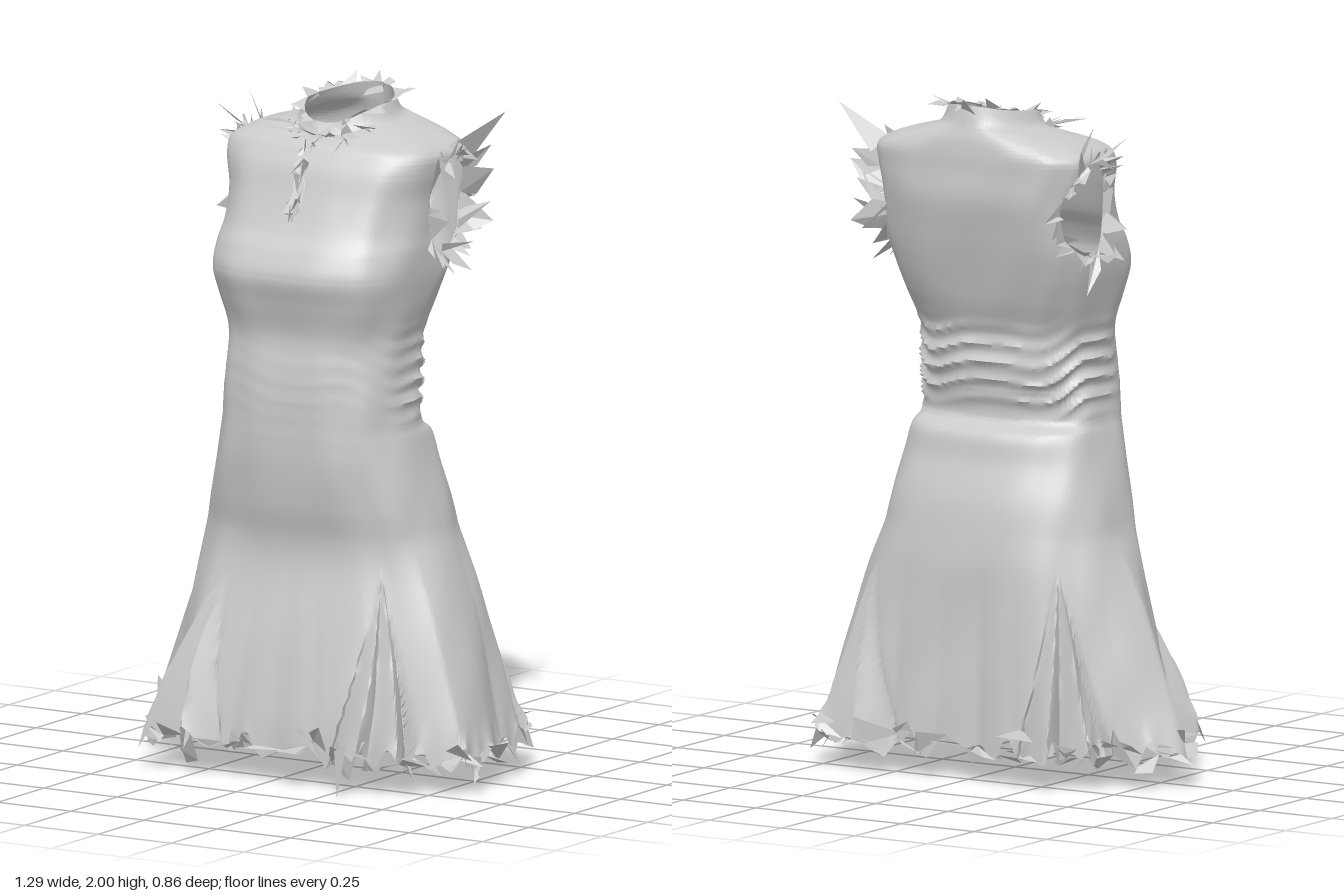
import * as THREE from 'three';
import { mergeVertices, toCreasedNormals } from 'three/addons/utils/BufferGeometryUtils.js';

const { clamp, lerp, smoothstep } = THREE.MathUtils;
const V = (x, y, z) => new THREE.Vector3(x, y, z);
const CX = 0.02; // the dress hangs slightly off centre
let seed = 7;
const rnd = () => (seed = (seed * 16807) % 2147483647) / 2147483647;
const jit = (a) => (rnd() * 2 - 1) * a;

// Cross-sections from hem to collar: y, half width, side z, front z, back z
const KEYS = [
  [0.10, 0.44, 0.02, 0.30, -0.27],
  [0.30, 0.43, 0.02, 0.25, -0.26],
  [0.50, 0.41, 0.02, 0.22, -0.26],
  [0.65, 0.385, 0.02, 0.215, -0.26],
  [0.80, 0.355, 0.02, 0.25, -0.24],
  [0.92, 0.325, 0.03, 0.27, -0.20],
  [1.00, 0.305, 0.04, 0.275, -0.18],
  [1.04, 0.295, 0.05, 0.275, -0.12],
  [1.12, 0.29, 0.05, 0.275, -0.135],
  [1.20, 0.285, 0.04, 0.27, -0.15],
  [1.30, 0.285, 0.03, 0.26, -0.15],
  [1.40, 0.305, 0.0, 0.285, -0.185],
  [1.48, 0.32, -0.04, 0.305, -0.21],
  [1.55, 0.325, -0.08, 0.28, -0.23],
  [1.61, 0.322, -0.10, 0.24, -0.245],
  [1.70, 0.325, -0.10, 0.20, -0.265],
  [1.78, 0.345, -0.10, 0.17, -0.265],
  [1.83, 0.345, -0.10, 0.14, -0.265],
  [1.865, 0.29, -0.09, 0.12, -0.26],
  [1.89, 0.20, -0.085, 0.10, -0.25],
  [1.905, 0.15, -0.08, 0.08, -0.245],
  [1.95, 0.125, -0.08, 0.06, -0.235],
];
const TOP = KEYS.length - 1;

// Hem outline: angle in degrees, radius
const HEM = [[0, 0.56], [17, 0.59], [29, 0.47], [41, 0.45], [57, 0.37], [67, 0.33], [92, 0.29], [117, 0.33],
  [133, 0.41], [145, 0.49], [158, 0.455], [172, 0.47], [184, 0.63], [199, 0.52], [211, 0.45], [226, 0.44],
  [238, 0.37], [257, 0.3], [283, 0.31], [307, 0.37], [322, 0.49], [337, 0.56], [348, 0.52], [360, 0.56]];
// Pleated godets: angle at the apex, angle at the hem, half width at the hem
const GODETS = [[31, 43, 16], [140, 139, 17], [217, 219, 17], [325, 321, 16]];
// Pleat profile across a godet
const PLEAT = [[-1, 0], [-0.92, -0.5], [-0.45, 1], [0, -0.4], [0.45, 1], [0.92, -0.5], [1, 0]];

function lookup(table, x) {
  const i = Math.max(1, table.findIndex((p) => p[0] >= x));
  const [x0, y0] = table[i - 1], [x1, y1] = table[i];
  return lerp(y0, y1, (x - x0) / (x1 - x0));
}

// Skirt radius: panels flare evenly, godets open downwards from their apex
function skirtRadius(r0, angle, y) {
  const d = ((angle * 180 / Math.PI) % 360 + 360) % 360;
  const t = clamp((0.72 - y) / 0.62, 0, 1), g = clamp((0.64 - y) / 0.54, 0, 1);
  let r = lerp(r0, lookup(HEM, d), Math.pow(t, 1.15));
  for (const [apex, hem, half] of GODETS) {
    const u = (d - lerp(apex, hem, g)) / (half * g + 0.01);
    if (Math.abs(u) < 1) r += 0.055 * g * lookup(PLEAT, u);
  }
  return r;
}

// Smoothly interpolated cross-section at row v, with neck blend and squareness
function section(v) {
  const i = Math.min(Math.floor(v), TOP - 1), f = v - i;
  const k = [i - 1, i, i + 1, i + 2].map((j) => KEYS[clamp(j, 0, TOP)]);
  const [y, rx, zs, zf, zb] = k[1].map((b, c) => {
    const m0 = (k[2][c] - k[0][c]) / 2, m1 = (k[3][c] - b) / 2, d = k[2][c] - b;
    return b + f * (m0 + f * (3 * d - 2 * m0 - m1 + f * (m0 + m1 - 2 * d)));
  });
  const neck = smoothstep(y, 1.83, 1.93);
  return { y, rx, zs, zf, zb, neck, e: lerp(0.74 - 0.12 * smoothstep(y, 1.25, 1.48), 1, neck) };
}

// Point on the cloth; theta 0 = left side, PI/2 = front, PI = right side
function cloth(v, th) {
  const k = section(v), c = Math.cos(th), s = Math.sin(th);
  const pw = (n) => Math.sign(n) * Math.pow(Math.abs(n), k.e);
  let x = k.rx * pw(c), z = k.zs + (s > 0 ? k.zf - k.zs : k.zs - k.zb) * pw(s);
  // neckline dips in front and rises behind
  let y = k.y + s * s * k.neck * (s > 0 ? -0.05 : 0.025);
  const r0 = Math.hypot(x, z - 0.02);
  let r = skirtRadius(r0, Math.atan2(z - 0.02, x), y);
  // gathered waist at the back and sides, folds slanting down from the front
  const waist = Math.exp(-Math.pow((y - 1.19) / 0.12, 4)) * lerp(1, 0.08, smoothstep(s, -0.2, 0.6));
  const wave = Math.sin(58 * (y - 0.05 * s) + 1.6 * c + 0.9 * Math.sin(5 * th));
  r += waist * 0.012 * (1 - 2 * Math.pow(Math.abs(wave), 0.7)) * (0.7 + 0.3 * Math.sin(3 * th + 14 * y));
  // soft drape creases
  r += 0.003 * (1 - k.neck) * Math.sin(9 * th + 7 * y) * Math.sin(11 * y + 3 * c);
  x *= r / r0;
  z = 0.02 + (z - 0.02) * r / r0;
  // uneven hem
  y += Math.max(0, 1 - v * 2) * 0.022 * (Math.sin(23 * th) + Math.sin(41 * th + 1));
  return V(x + CX, y, z);
}

// Angle from the side line to the armhole edge on row v
function armGap(v, front) {
  const { y, zs, zf, zb, e } = section(v);
  const h = 1 - Math.pow((y - 1.675) / 0.14, 2);
  if (h <= 0) return 0;
  const q = 0.1 * Math.sqrt(h) / (front ? zf - zs : zs - zb);
  return Math.asin(Math.min(0.95, Math.pow(q, 1 / e)));
}

// Front and back panels, joined at the sides except around the armholes
function dressGeometry() {
  const rows = TOP * 8, cols = 150, pos = [], idx = [];
  for (const front of [true, false]) {
    const base = pos.length / 3;
    for (let i = 0; i <= rows; i++) {
      const v = i / rows * TOP, g = armGap(v, front), from = front ? 0 : Math.PI;
      for (let j = 0; j <= cols; j++) {
        pos.push(...cloth(v, from + g + (Math.PI - 2 * g) * j / cols).toArray());
        if (i < rows && j < cols) {
          const a = base + i * (cols + 1) + j, b = a + cols + 1;
          idx.push(a, b, a + 1, b, b + 1, a + 1);
        }
      }
    }
  }
  const g = new THREE.BufferGeometry();
  g.setAttribute('position', new THREE.Float32BufferAttribute(pos, 3));
  g.setIndex(idx);
  return toCreasedNormals(mergeVertices(g, 1e-5), 0.7);
}

// Torn scraps along an edge: at(u) gives the edge point, dir(p) the way they fly
function scraps(at, dir, count, len, width) {
  const pos = [];
  const tri = (...p) => p.forEach((q) => pos.push(q.x, q.y, q.z));
  for (let i = 0; i < count; i++) {
    const u = (i + rnd()) / count;
    const a = at(u), b = at(u + width * (0.5 + rnd()));
    const d = dir(a).normalize().multiplyScalar(len * (0.25 + rnd() * rnd()));
    const tip = a.clone().lerp(b, rnd()).add(d).add(V(jit(0.3), jit(0.3), jit(0.3)).multiplyScalar(len));
    const bend = b.clone().addScaledVector(d, 0.5).add(V(jit(0.2), jit(0.2), jit(0.2)).multiplyScalar(len));
    tri(a, b, tip);
    tri(b, bend, tip);
  }
  return pos;
}

export function createModel() {
  const group = new THREE.Group();
  const smooth = new THREE.MeshStandardMaterial({ color: 0xcccccc, side: THREE.DoubleSide });
  const torn = new THREE.MeshStandardMaterial({ color: 0xcccccc, side: THREE.DoubleSide, flatShading: true });
  const add = (name, geo, mat) => {
    const m = new THREE.Mesh(geo, mat);
    m.name = name;
    group.add(m);
  };
  const addTorn = (name, pos) => {
    const g = new THREE.BufferGeometry();
    g.setAttribute('position', new THREE.Float32BufferAttribute(pos, 3));
    g.computeVertexNormals();
    add(name, g, torn);
  };
  add('dress', dressGeometry(), smooth);

  // ragged hem, with a few long points
  const hem = scraps((u) => cloth(0, u * 2 * Math.PI),
    (p) => V(p.x * 0.3 + jit(0.3), jit(0.4), p.z * 0.4 + jit(0.3)), 95, 0.085, 0.017);
  const points = [
    [0.27, 0.12, 0.35, 0.30, 0.0, 0.43], [-0.58, 0.13, -0.04, -0.64, 0.18, -0.09],
    [-0.23, 0.14, -0.31, -0.21, 0.17, -0.43], [0.47, 0.13, -0.28, 0.46, 0.14, -0.38],
    [0.57, 0.13, 0.22, 0.63, 0.11, 0.22], [-0.41, 0.12, 0.30, -0.43, 0.06, 0.35]];
  for (const [x, y, z, ...tip] of points) hem.push(x - 0.03, y, z, x + 0.03, y + 0.03, z + 0.03, ...tip);
  addTorn('hemScraps', hem);

  // ragged collar, more torn at the front
  addTorn('collarScraps', [
    ...scraps((u) => cloth(TOP, u * 2 * Math.PI), (p) => V(p.x - CX, jit(0.1), p.z + 0.08), 28, 0.07, 0.05),
    ...scraps((u) => cloth(TOP - 0.9, (0.1 + 0.75 * u) * Math.PI),
      (p) => V((p.x - CX) * 0.8 + jit(0.15), jit(0.15), 0.15), 26, 0.12, 0.09)]);

  // torn front opening
  addTorn('openingScraps', scraps((u) => cloth(14.3 + (u % 1) * 4.5, Math.PI / 2).add(V(jit(0.02), 0, 0.004)),
    () => V(jit(0.5), jit(0.8), 0.4), 26, 0.06, 0.14));

  // ragged armholes on both sides
  for (const side of [1, -1]) {
    const edge = (u) => {
      const a = u * 2 * Math.PI, front = Math.cos(a) > 0;
      const v = 14.75 + 2 * Math.sin(a);
      const th = armGap(v, front) * (front ? 1 : -1);
      return cloth(v, side > 0 ? th : Math.PI - th);
    };
    addTorn(side > 0 ? 'leftArmholeScraps' : 'rightArmholeScraps', scraps(edge,
      (p) => V(side * 0.06 + jit(0.05), (p.y - 1.67) * 0.4 + jit(0.08), (p.z + 0.1) * 0.7 + jit(0.08)),
      34, 0.11, 0.07));
  }
  // long points at the shoulders and nape
  addTorn('shoulderPoints', [
    0.34, 1.84, -0.14, 0.37, 1.80, -0.20, 0.48, 1.94, -0.20,
    -0.29, 1.85, -0.10, -0.33, 1.80, -0.18, -0.36, 1.93, -0.14,
    -0.02, 1.93, -0.22, 0.05, 1.95, -0.22, 0.0, 2.0, -0.28]);
  return group;
}
